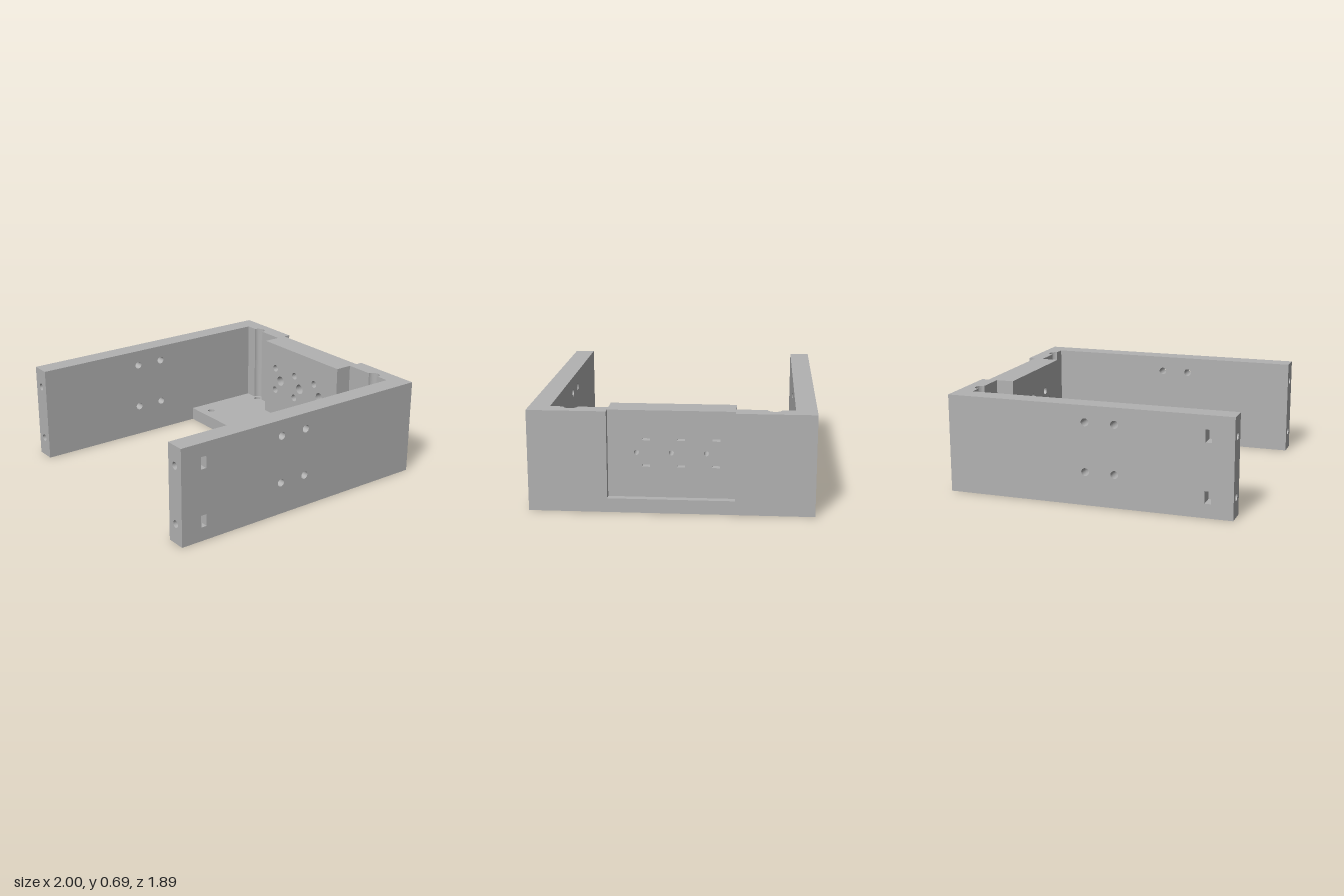
import * as THREE from 'three';

const H = 0.685, FLOOR = 0.095, OUT = 0.945, IN = 0.805, BAY = 0.42;

const polygon = (pts) => new THREE.Shape(pts.map(([x, y]) => new THREE.Vector2(x, y)));
const rect = (x0, y0, x1, y1) => polygon([[x0, y0], [x1, y0], [x1, y1], [x0, y1]]);

function drill(shape, x, y, r) {
  const hole = new THREE.Path();
  hole.absarc(x, y, r, 0, Math.PI * 2, true);
  shape.holes.push(hole);
}

// Extrude a shape from one coordinate to another along the given axis.
// Along x the shape is drawn in (-z, y); along y in (x, -z); along z in (x, y).
function extrude(shape, axis, from, to) {
  const g = new THREE.ExtrudeGeometry(shape, { depth: to - from, bevelEnabled: false, curveSegments: 16 });
  g.translate(0, 0, from);
  if (axis === 'x') g.rotateY(Math.PI / 2);
  if (axis === 'y') g.rotateX(-Math.PI / 2);
  return g;
}

export function createModel() {
  const model = new THREE.Group();
  model.name = 'mountingBracket';
  const grey = new THREE.MeshStandardMaterial({ color: 0xb2b2b2 });
  grey.name = 'grey';
  const add = (name, geometry) => {
    const mesh = new THREE.Mesh(geometry, grey);
    mesh.name = name;
    model.add(mesh);
  };

  // Floor plate with mounting holes
  const floor = rect(0.315, -IN, 1, IN);
  for (const z of [-0.67, 0.67]) for (const x of [0.405, 0.88]) drill(floor, x, z, 0.027);
  for (const z of [-0.23, 0, 0.23]) drill(floor, 0.645, z, 0.04);
  add('floorPlate', extrude(floor, 'y', 0, FLOOR));

  const boltHoles = (shape) => {
    for (const x of [-0.195, 0.01]) for (const y of [0.23, 0.57]) drill(shape, x, y, 0.027);
    return shape;
  };

  for (const s of [1, -1]) {
    const side = s > 0 ? 'front' : 'back';
    const layer = (a, b) => [Math.min(s * a, s * b), Math.max(s * a, s * b)];

    // Long wall: outer layer carries the nut pockets, inner layer closes them
    const pocketDepth = 0.1, xs = -0.85, xp = -0.808;
    const outer = polygon([
      [xs, 0], [1, 0], [1, H], [xs, H],
      [xs, 0.59], [xp, 0.59], [xp, 0.505], [xs, 0.505],
      [xs, 0.182], [xp, 0.182], [xp, 0.098], [xs, 0.098],
    ]);
    add(side + 'WallOuter', extrude(boltHoles(outer), 'z', ...layer(OUT - pocketDepth, OUT)));
    add(side + 'WallInner', extrude(boltHoles(rect(xs, 0, 1, H)), 'z', ...layer(IN, OUT - pocketDepth)));

    // Wall end with screw holes leading to the pockets
    const [z0, z1] = layer(IN, OUT);
    const end = rect(-z1, 0, -z0, H);
    for (const y of [0.14, 0.547]) drill(end, -s * 0.875, y, 0.026);
    add(side + 'WallEnd', extrude(end, 'x', -1, xs));

    // End wall beside the bay, with a round vertical screw channel
    const pts = [[1, BAY], [1, IN], [0.885, IN]];
    for (let i = 0; i <= 16; i++) {
      const a = Math.PI / 2 - (Math.PI * i) / 16;
      pts.push([0.885 + 0.045 * Math.cos(a), 0.67 + 0.047 * Math.sin(a)]);
    }
    pts.push([0.885, BAY]);
    add(side + 'EndWall', extrude(polygon(pts.map(([x, z]) => [x, -s * z])), 'y', FLOOR, H));
  }

  // Recessed centre block: small holes and slots outside, wider bores inside
  const outerFace = rect(-BAY, FLOOR, BAY, H);
  const innerFace = rect(-BAY, FLOOR, BAY, H);
  for (const z of [-0.23, 0, 0.23]) {
    drill(outerFace, -z, 0.4, 0.017);
    drill(innerFace, -z, 0.4, 0.038);
    for (const y of [0.31, 0.49]) {
      const c = -(z - 0.063);
      outerFace.holes.push(rect(c - 0.026, y - 0.007, c + 0.026, y + 0.007));
      drill(innerFace, c, y, 0.027);
    }
  }
  add('centreBlockOuter', extrude(outerFace, 'x', 0.85, 0.95));
  add('centreBlockInner', extrude(innerFace, 'x', 0.76, 0.85));

  return model;
}
